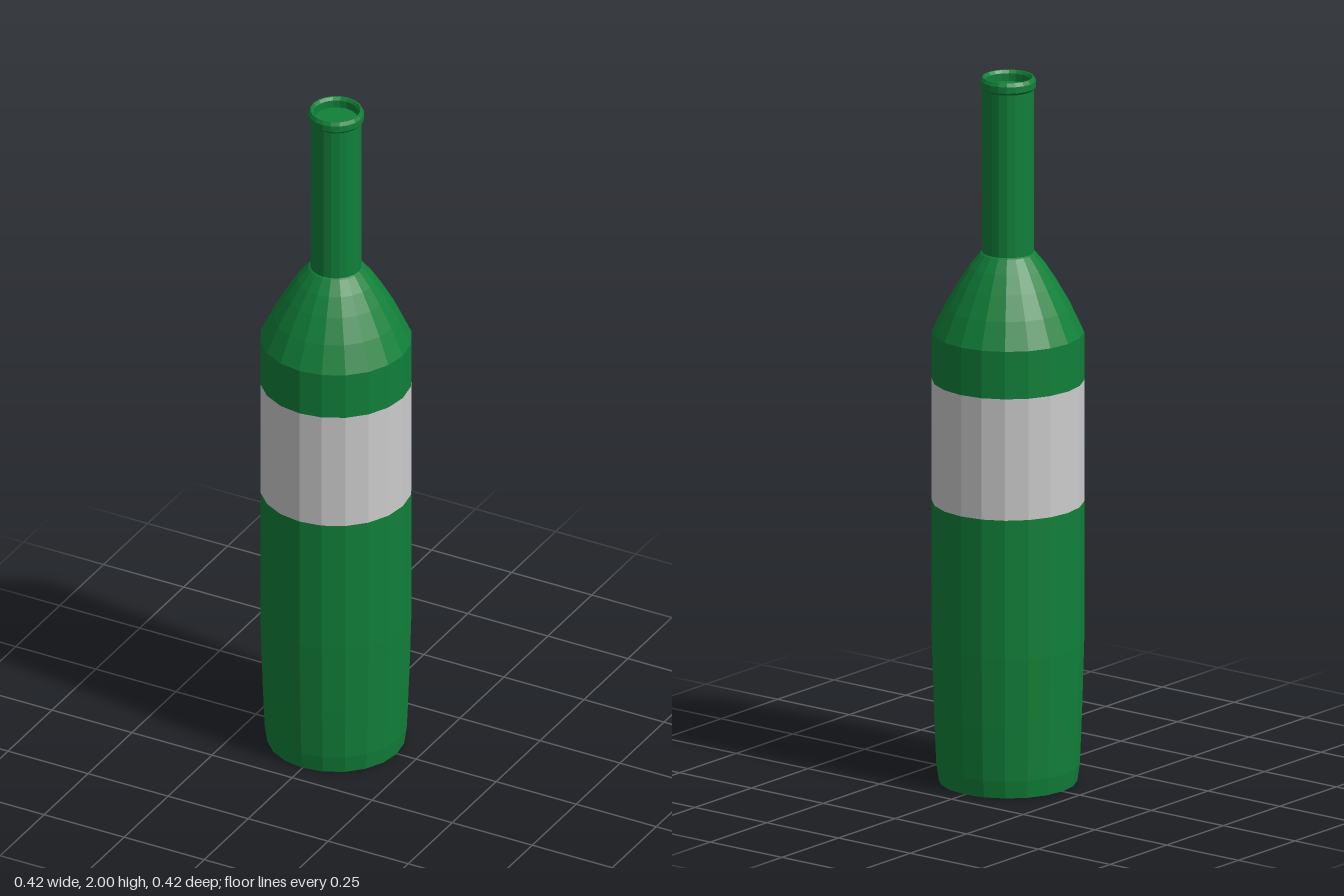
import * as THREE from 'three';

const SIDES = 20;

// Faceted surface of revolution from [radius, height] pairs, listed bottom to top
function lathe(name, color, profile) {
  const points = profile.map(([r, y]) => new THREE.Vector2(r, y));
  const material = new THREE.MeshStandardMaterial({ color, flatShading: true });
  const mesh = new THREE.Mesh(new THREE.LatheGeometry(points, SIDES), material);
  mesh.name = name;
  return mesh;
}

export function createModel() {
  const bottle = new THREE.Group();
  bottle.name = 'bottle';
  const green = 0x118039;

  bottle.add(
    // Closed base and slightly tapered lower body
    lathe('lowerBody', green, [[0, 0], [0.19, 0], [0.197, 0.05], [0.203, 0.2], [0.209, 0.4], [0.209, 0.795]]),
    // Plain band, flush with the glass
    lathe('label', 0xcccccc, [[0.209, 0.795], [0.209, 1.14]]),
    // Upper body and rounded shoulder
    lathe('shoulder', green, [[0.209, 1.14], [0.209, 1.275], [0.174, 1.35], [0.137, 1.415], [0.106, 1.463], [0.076, 1.5], [0.071, 1.503]]),
    lathe('neck', green, [[0.071, 1.5], [0.071, 1.968]]),
    // Lip with a shallow recessed mouth
    lathe('lip', green, [[0.071, 1.965], [0.077, 1.972], [0.077, 1.99], [0.071, 2], [0.067, 2], [0.061, 1.992], [0.061, 1.97], [0, 1.97]]),
  );
  return bottle;
}
